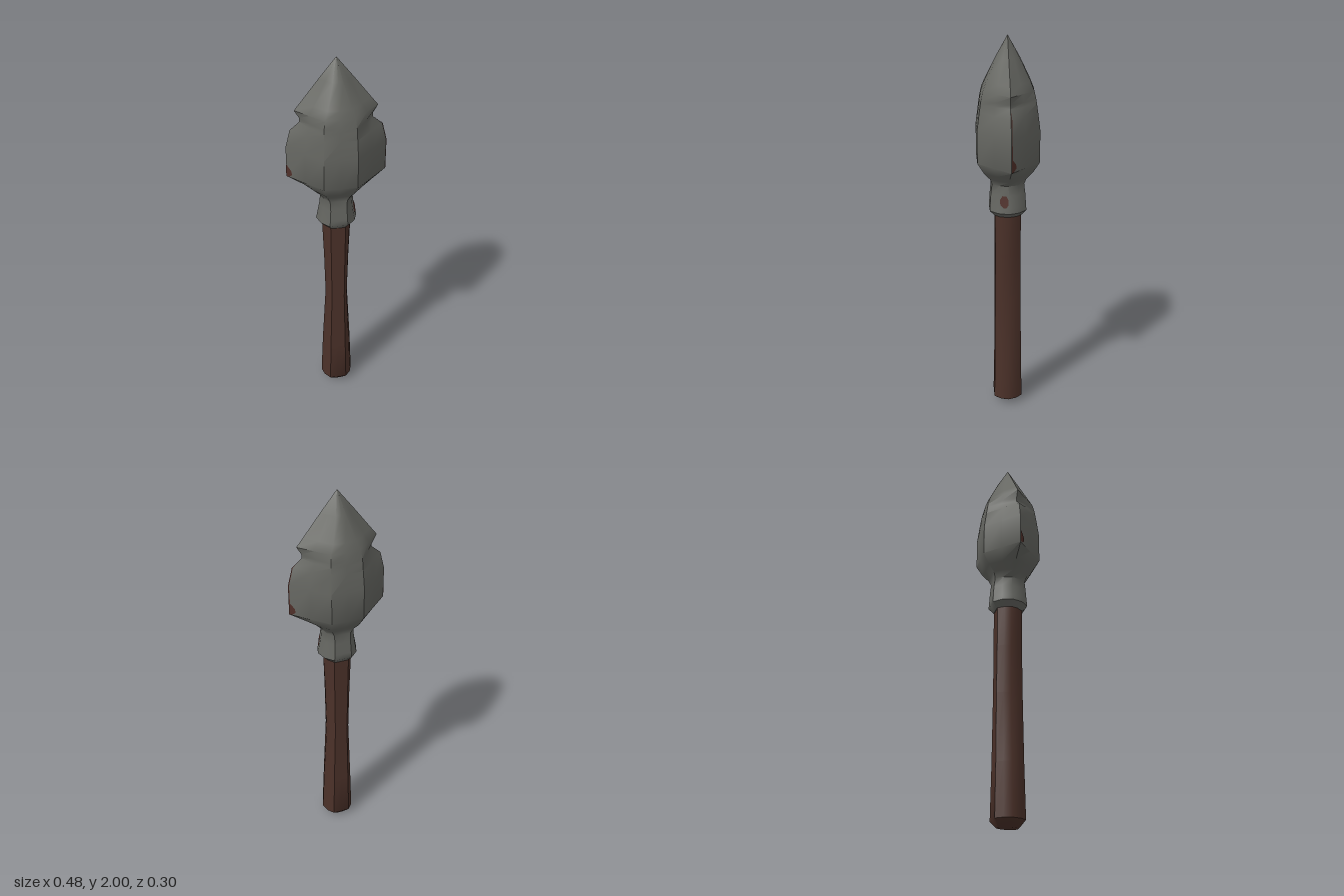
import * as THREE from 'three';
import { toCreasedNormals } from 'three/addons/utils/BufferGeometryUtils.js';

// Section rows: [y, halfWidth, halfDepth, halfFlat, roundness, centreRidge]
const HEAD = [
  [1.11, 0.07, 0.068, 0.032, 1.15, 0],
  [1.14, 0.102, 0.092, 0.045, 1.15, 0],
  [1.17, 0.096, 0.09, 0.043, 1.15, 0],
  [1.23, 0.085, 0.086, 0.04, 1.15, 0],
  [1.28, 0.08, 0.08, 0.042, 1.12, 0],
  [1.31, 0.11, 0.09, 0.055, 1.08, 0],
  [1.345, 0.16, 0.12, 0.068, 1.04, 0],
  [1.40, 0.24, 0.152, 0.08, 1, 0],
  [1.56, 0.24, 0.152, 0.08, 1, 0],
  [1.65, 0.218, 0.14, 0.077, 1, 0.002],
  [1.69, 0.172, 0.134, 0.076, 1.04, 0.003],
  [1.71, 0.172, 0.131, 0.075, 1.04, 0.003],
  [1.75, 0.195, 0.122, 0.07, 1, 0.004],
  [1.79, 0.164, 0.106, 0.055, 1, 0.005],
  [1.90, 0.08, 0.054, 0.024, 1, 0.004],
  [2.0, 0.001, 0.001, 0.0005, 1, 0],
];
const HANDLE = [
  [0, 0.035, 0.05, 0.015, 1.1, 0],
  [0.035, 0.086, 0.075, 0.045, 1.12, 0],
  [0.3, 0.076, 0.07, 0.04, 1.12, 0],
  [0.65, 0.058, 0.067, 0.033, 1.12, 0],
  [0.9, 0.064, 0.065, 0.035, 1.12, 0],
  [1.13, 0.073, 0.065, 0.038, 1.12, 0],
];

// Twelve-point outline, mirrored across both axes
function section([, w, d, f, r, ridge]) {
  const mx = (w + f) / 2 * r, mz = d / 2 * r;
  return [
    [w, 0], [mx, mz], [f, d], [0, d + ridge], [-f, d], [-mx, mz],
    [-w, 0], [-mx, -mz], [-f, -d], [0, -d - ridge], [f, -d], [mx, -mz],
  ];
}

// Skin the sections and close both ends
function loft(rows, crease) {
  const pos = [], idx = [], n = 12;
  for (const row of rows) for (const [x, z] of section(row)) pos.push(x, row[0], z);
  const last = (rows.length - 1) * n;
  const bottom = rows.length * n, top = bottom + 1;
  pos.push(0, rows[0][0], 0, 0, rows[rows.length - 1][0], 0);
  for (let j = 0; j < n; j++) {
    const k = (j + 1) % n;
    for (let i = 0; i < rows.length - 1; i++) {
      const a = i * n + j, b = i * n + k;
      idx.push(a, a + n, b, b, a + n, b + n);
    }
    idx.push(bottom, j, k, top, last + k, last + j);
  }
  const g = new THREE.BufferGeometry();
  g.setAttribute('position', new THREE.Float32BufferAttribute(pos, 3));
  g.setIndex(idx);
  return toCreasedNormals(g, crease);
}

// Thin stain following the head beside its side edge; strips are [y, start, end]
function stain(strips, side) {
  const pos = [], idx = [];
  strips.forEach(([y, u0, u1], s) => {
    let i = 0;
    while (HEAD[i + 1][0] < y) i++;
    const t = (y - HEAD[i][0]) / (HEAD[i + 1][0] - HEAD[i][0]);
    const row = HEAD[i].map((v, c) => THREE.MathUtils.lerp(v, HEAD[i + 1][c], t));
    const [a, b] = section(row);
    const len = Math.hypot(b[0] - a[0], b[1]);
    const nx = b[1] / len * 0.003, nz = (a[0] - b[0]) / len * 0.003;
    for (const u of [u0, u1]) {
      pos.push(a[0] + (b[0] - a[0]) * u + nx, y, side * (b[1] * u + nz));
    }
    if (s) {
      const k = s * 2;
      if (side > 0) idx.push(k - 2, k, k - 1, k - 1, k, k + 1);
      else idx.push(k - 2, k - 1, k, k - 1, k + 1, k);
    }
  });
  const g = new THREE.BufferGeometry();
  g.setAttribute('position', new THREE.Float32BufferAttribute(pos, 3));
  g.setIndex(idx);
  g.computeVertexNormals();
  return g;
}

export function createModel() {
  const steel = new THREE.MeshStandardMaterial({ color: 0x656661 });
  steel.name = 'dullSteel';
  const wood = new THREE.MeshStandardMaterial({ color: 0x4b3129 });
  wood.name = 'darkWood';
  const rust = new THREE.MeshStandardMaterial({ color: 0x50302a, side: THREE.DoubleSide });
  rust.name = 'rust';

  const group = new THREE.Group();
  group.name = 'spear';
  const add = (name, geometry, material) => {
    const mesh = new THREE.Mesh(geometry, material);
    mesh.name = name;
    group.add(mesh);
    return mesh;
  };

  add('handle', loft(HANDLE, 0.8), wood);
  add('spearhead', loft(HEAD, 0.75), steel);

  // Rust on opposite cutting edges
  const edge = [[1.402, 0, 0.12], [1.42, 0, 0.32], [1.44, 0, 0.28], [1.465, 0, 0.06],
    [1.56, 0, 0.05], [1.65, 0, 0.05], [1.68, 0, 0.01]];
  add('leftEdgeRust', stain(edge, -1), rust);
  add('rightEdgeRust', stain(edge.slice(0, 4), -1), rust).rotation.y = Math.PI;

  // Rust on the left of the socket
  add('socketRust', stain([[1.17, 0.25, 0.5], [1.185, 0.02, 0.8], [1.21, 0.02, 0.85],
    [1.23, 0.2, 0.6]], 1), rust);
  return group;
}
